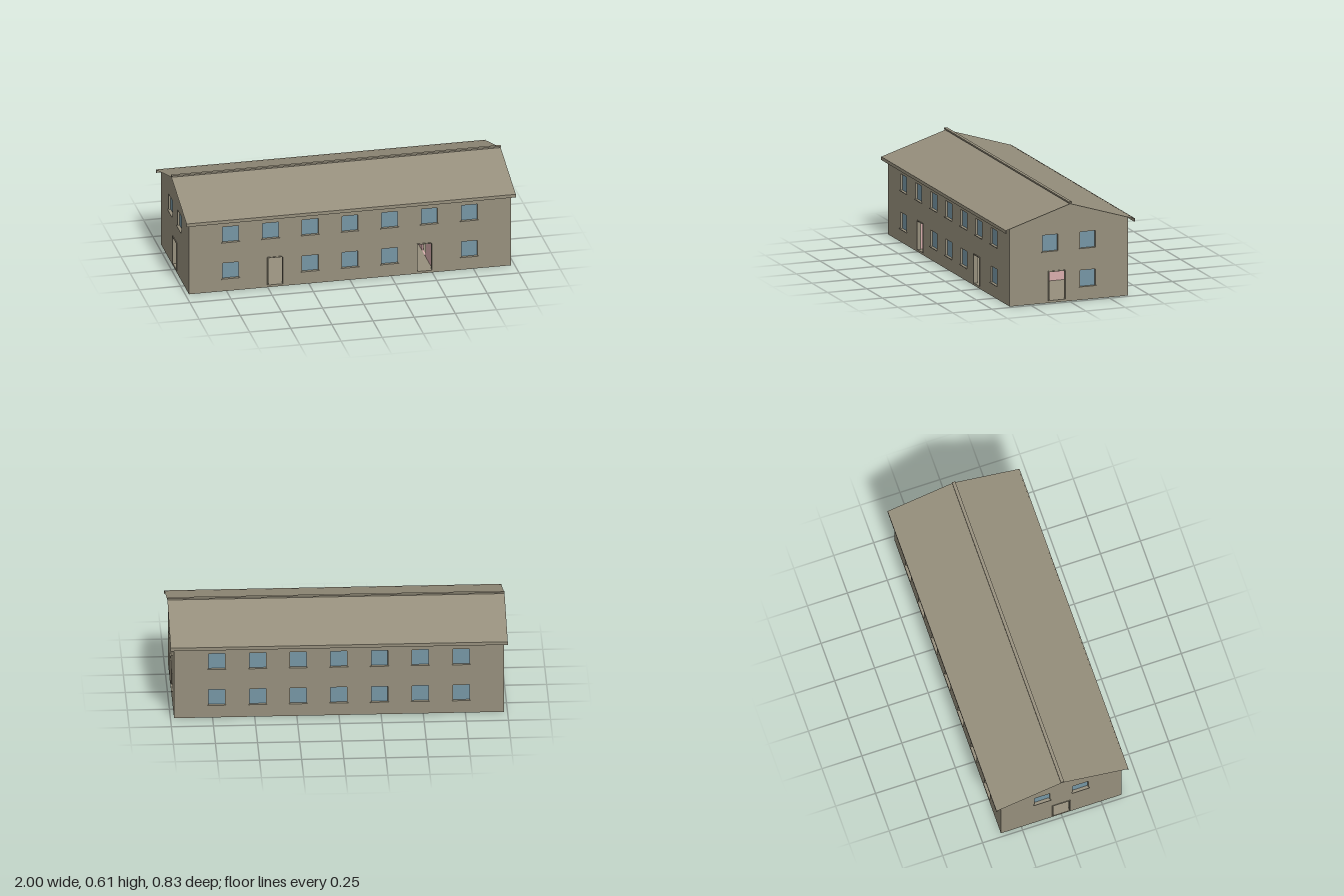
import * as THREE from 'three';

const T = 0.02;              // wall thickness
const X = 0.978, Z = 0.378;  // outer half sizes of the walls
const EAVE = 0.479, RIDGE = 0.597;

const stone = new THREE.MeshStandardMaterial({ color: 0x968f7c, side: THREE.DoubleSide });
stone.name = 'stone';
const glassBlue = new THREE.MeshStandardMaterial({ color: 0x7595a4 });
glassBlue.name = 'glassBlue';
const plasterPink = new THREE.MeshStandardMaterial({ color: 0xd8adad });
plasterPink.name = 'plasterPink';

function box(parent, name, mat, w, h, d, x, y, z) {
  const m = new THREE.Mesh(new THREE.BoxGeometry(w, h, d), mat);
  m.name = name;
  m.position.set(x, y, z);
  parent.add(m);
  return m;
}

function rectPath(x0, y0, x1, y1) {
  return new THREE.Path([[x0, y0], [x0, y1], [x1, y1], [x1, y0]].map(p => new THREE.Vector2(...p)));
}

// Flat panel with openings; its outer face lies at local z = 0
function panel(parent, name, mat, outline, openings, depth) {
  const shape = new THREE.Shape(outline.map(p => new THREE.Vector2(...p)));
  openings.forEach(o => shape.holes.push(rectPath(o.x - o.w / 2, o.y, o.x + o.w / 2, o.y + o.h)));
  const geo = new THREE.ExtrudeGeometry(shape, { depth, bevelEnabled: false });
  geo.translate(0, 0, -depth);
  const m = new THREE.Mesh(geo, mat);
  m.name = name;
  parent.add(m);
  return m;
}

const windowAt = (x, y) => ({ kind: 'window', x, y, w: 0.098, h: 0.1 });
const doorAt = (x, w) => ({ kind: 'door', x, y: 0.014, w, h: 0.174 });
const UPPER = 0.315, LOWER = 0.081;

// Outer wall with recessed glass, sills and door frames
function wall(name, outline, openings) {
  const g = new THREE.Group();
  g.name = name;
  panel(g, name + 'Panel', stone, outline, openings, T);
  for (const o of openings) {
    if (o.kind === 'window') {
      box(g, 'windowGlass', glassBlue, o.w, o.h, 0.004, o.x, o.y + o.h / 2, -0.014);
      box(g, 'windowSill', stone, o.w + 0.013, 0.004, 0.02, o.x, o.y - 0.002, -0.003);
    } else {
      const f = 0.006, top = o.y + o.h;
      for (const s of [-1, 1])
        box(g, 'doorJamb', stone, f, o.h, 0.014, o.x + s * (o.w + f) / 2, o.y + o.h / 2, -0.003);
      box(g, 'doorLintel', stone, o.w + 2 * f, f, 0.014, o.x, top + f / 2, -0.003);
    }
  }
  return g;
}

export function createModel() {
  const model = new THREE.Group();
  model.name = 'house';

  // Long walls
  const columns = [-0.725, -0.482, -0.241, 0, 0.241, 0.482, 0.725];
  const L = X - T;
  const longOutline = [[-L, 0], [L, 0], [L, EAVE], [-L, EAVE]];
  const upperRow = columns.map(x => windowAt(x, UPPER));

  const front = wall('frontWall', longOutline, [
    ...upperRow,
    ...columns.filter(x => Math.abs(Math.abs(x) - 0.482) > 0.01).map(x => windowAt(x, LOWER)),
    doorAt(-0.453, 0.088), doorAt(0.453, 0.088),
  ]);
  front.position.z = Z;

  const back = wall('backWall', longOutline, [...upperRow, ...columns.map(x => windowAt(x, LOWER))]);
  back.position.z = -Z;
  back.rotation.y = Math.PI;

  // Gable walls
  const gableOutline = [[-Z, 0], [Z, 0], [Z, EAVE], [0, RIDGE], [-Z, EAVE]];
  const gableTop = [windowAt(-0.12, UPPER), windowAt(0.12, UPPER)];
  const leftGable = wall('leftGable', gableOutline, [...gableTop, windowAt(0.12, LOWER), doorAt(-0.076, 0.102)]);
  leftGable.position.x = X;
  leftGable.rotation.y = Math.PI / 2;

  const rightGable = wall('rightGable', gableOutline, [...gableTop, doorAt(0, 0.102)]);
  rightGable.position.x = -X;
  rightGable.rotation.y = -Math.PI / 2;
  model.add(front, back, leftGable, rightGable);

  // Ground slab and ceiling
  box(model, 'groundFloor', stone, 2 * L, 0.013, 2 * (Z - T), 0, 0.0065, 0);
  box(model, 'ceiling', plasterPink, 2 * L, 0.012, 2 * (Z - T), 0, 0.236, 0);

  // Inner partitions with a doorway
  const P = Z - T;
  for (const s of [-1, 1]) {
    const p = panel(model, 'partition', plasterPink,
      [[-P, 0.013], [P, 0.013], [P, 0.23], [-P, 0.23]],
      [{ x: -0.125, y: 0.0135, w: 0.1, h: 0.1645 }], 0.01);
    p.rotation.y = Math.PI / 2;
    p.position.x = s * 0.51 + (s > 0 ? 0.005 : 0);
  }

  // Thin roof slopes, fascias and ridge cap
  const run = 0.41, rise = 0.128, top = 0.5985;
  for (const s of [-1, 1]) {
    const slope = new THREE.Mesh(new THREE.PlaneGeometry(2, Math.hypot(run, rise)), stone);
    slope.name = 'roofSlope';
    slope.rotation.x = -Math.PI / 2 + s * Math.atan2(rise, run);
    slope.position.set(0, top - rise / 2, s * run / 2);
    model.add(slope);
    box(model, 'fascia', stone, 2, 0.02, 0.005, 0, 0.462, s * 0.4105);
  }
  box(model, 'ridgeCap', stone, 2, 0.009, 0.02, 0, 0.6065, 0);

  return model;
}
